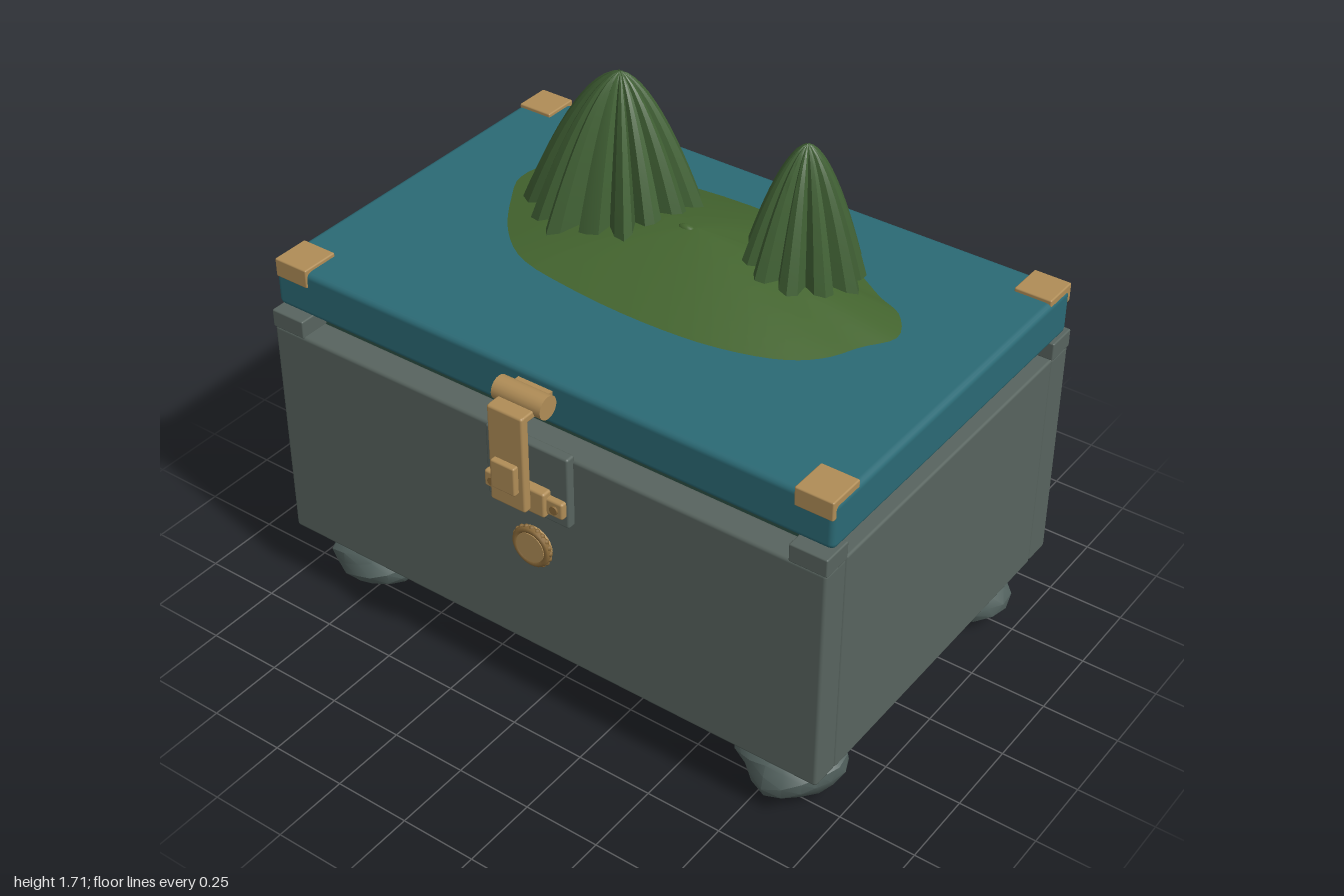
import * as THREE from 'three';
import { toCreasedNormals } from 'three/addons/utils/BufferGeometryUtils.js';
import { RoundedBoxGeometry } from 'three/addons/geometries/RoundedBoxGeometry.js';

const flat = (name, color) => {
  const m = new THREE.MeshStandardMaterial({ color });
  m.name = name;
  return m;
};

export function createModel() {
  const model = new THREE.Group();
  model.name = 'treasureChest';
  const stone = flat('stone grey', 0x58645f);
  const rock = flat('rock grey', 0x53625f);
  const teal = flat('sea teal', 0x2b6a75);
  const liner = flat('dark green', 0x2c4d43);
  const brass = flat('brass', 0xb08d57);
  const darkBrass = flat('dark brass', 0x8a6a3a);
  const grass = flat('grass green', 0x44652f);
  const forest = flat('forest green', 0x406034);
  const MID = 0.0125; // centre line of the chest

  const add = (name, geo, mat, x = 0, y = 0, z = 0, parent = model) => {
    const m = new THREE.Mesh(geo, mat);
    m.name = name;
    m.position.set(x, y, z);
    parent.add(m);
    return m;
  };
  // Box given by its limits, with softened edges when r > 0
  const box = (name, mat, [x0, x1], [y0, y1], [z0, z1], r = 0) => {
    const s = [x1 - x0, y1 - y0, z1 - z0];
    const geo = r ? new RoundedBoxGeometry(...s, 2, r) : new THREE.BoxGeometry(...s);
    return add(name, geo, mat, (x0 + x1) / 2, (y0 + y1) / 2, (z0 + z1) / 2);
  };
  const around = (c, w) => [c - w / 2, c + w / 2];
  const barrel = (name, x, y, z, r, len) => {
    const m = add(name, new THREE.CylinderGeometry(r, r, len, 20), brass, x, y, z);
    m.rotation.z = Math.PI / 2;
    return m;
  };
  const disc = (name, mat, r, len, x, y, z, sides = 24) => {
    const m = add(name, new THREE.CylinderGeometry(r, r, len, sides), mat, x, y, z);
    m.rotation.x = Math.PI / 2;
    return m;
  };
  // Surface through rings of points, anticlockwise from above, bottom ring first
  const loft = (rings, crease) => {
    const n = rings[0].length, index = [];
    for (let i = 0; i < rings.length - 1; i++) {
      for (let j = 0; j < n; j++) {
        const a = i * n + j, b = i * n + (j + 1) % n;
        index.push(a, b, a + n, b, b + n, a + n);
      }
    }
    const geo = new THREE.BufferGeometry().setFromPoints(rings.flat());
    geo.setIndex(index);
    geo.computeVertexNormals();
    return crease ? toCreasedNormals(geo, crease) : geo;
  };

  // Body panels and floor
  box('frontPanel', stone, [-0.97, 0.995], [0.225, 0.995], [0.534, 0.634], 0.012);
  box('backPanel', stone, [-0.97, 0.995], [0.225, 0.995], [-0.675, -0.575], 0.012);
  box('rightPanel', stone, [-0.97, -0.87], [0.225, 0.995], [-0.577, 0.536], 0.008);
  box('leftPanel', stone, [0.895, 0.995], [0.225, 0.995], [-0.577, 0.536], 0.008);
  box('floor', stone, [-0.885, 0.912], [0.19, 0.26], [-0.58, 0.536], 0.008);
  box('innerLiner', liner, [-0.89, 0.915], [0.9, 1.047], [-0.565, 0.52]);

  // Corner posts, lid corners and rock feet
  let seed = 0;
  for (const sx of [-1, 1]) {
    for (const sz of [-1, 1]) {
      const post = sx < 0 ? [-0.972, -0.85] : [0.875, 0.997];
      box('cornerPost', stone, post, [0.99, 1.05], sz < 0 ? [-0.677, -0.575] : [0.534, 0.636], 0.005);
      const cap = sx < 0 ? [-0.962, -0.84] : [0.87, 0.992];
      box('lidCorner', brass, cap, [1.16, 1.222], sz < 0 ? [-0.656, -0.535] : [0.485, 0.612], 0.005);

      const geo = new THREE.IcosahedronGeometry(1, 2);
      const p = geo.attributes.position, v = new THREE.Vector3();
      for (let i = 0; i < p.count; i++) {
        v.fromBufferAttribute(p, i);
        const k = 1 + 0.07 * Math.sin(4 * v.x + 3 * v.z + seed) + 0.05 * Math.sin(5 * v.y - 4 * v.x + 2 * seed);
        p.setXYZ(i, v.x * k * 0.163, v.y * k * 0.1, v.z * k * 0.145);
      }
      add('rockFoot', toCreasedNormals(geo, 0.5), rock, sx < 0 ? -0.765 : 0.8, 0.108, sz < 0 ? -0.507 : 0.46);
      seed += 1.7;
    }
  }

  // Lid
  box('lid', teal, [-0.97, 0.995], [1.057, 1.21], [-0.648, 0.607], 0.02);

  // Hinges
  for (const x of [-0.575, 0.612]) {
    box('hingeUpperLeaf', brass, around(x, 0.14), [1.05, 1.14], [-0.735, -0.645], 0.006);
    box('hingeLowerLeaf', brass, around(x, 0.14), [0.815, 1.04], [-0.705, -0.67], 0.006);
    barrel('hingeBarrel', x, 1.05, -0.725, 0.038, 0.215);
  }

  // Latch
  box('latchPlate', stone, [-0.135, 0.16], [0.765, 1.01], [0.625, 0.66], 0.008);
  box('latchEars', brass, [-0.13, 0.153], [0.805, 0.862], [0.655, 0.68], 0.008);
  box('latchKeeper', brass, around(MID, 0.17), [0.795, 0.88], [0.655, 0.692], 0.008);
  for (const s of [-1, 1]) disc('latchScrew', darkBrass, 0.014, 0.01, MID + s * 0.112, 0.833, 0.681, 12);
  box('latchStrap', brass, around(MID, 0.125), [0.838, 1.165], [0.717, 0.747], 0.008);
  box('latchArm', brass, around(MID, 0.125), [1.14, 1.165], [0.66, 0.74], 0.006);
  box('latchTab', brass, around(MID, 0.085), [0.9, 0.997], [0.74, 0.766], 0.006);
  box('latchBracket', brass, around(MID, 0.12), [1.145, 1.18], [0.6, 0.66]);
  barrel('latchBarrel', MID, 1.165, 0.66, 0.037, 0.172);

  // Front stud with a beaded rim
  disc('studBack', brass, 0.064, 0.02, MID, 0.628, 0.64);
  add('studRim', new THREE.TorusGeometry(0.058, 0.011, 8, 32), darkBrass, MID, 0.628, 0.65);
  disc('studCentre', brass, 0.05, 0.03, MID, 0.628, 0.645);
  for (let i = 0; i < 20; i++) {
    const a = i / 20 * Math.PI * 2;
    add('studBead', new THREE.SphereGeometry(0.009, 6, 5), darkBrass, MID + 0.064 * Math.cos(a), 0.628 + 0.064 * Math.sin(a), 0.647);
  }

  // Ring pull on the right end
  const boss = add('ringBoss', new THREE.CylinderGeometry(0.043, 0.043, 0.02, 20), brass, -0.975, 0.722, -0.03);
  boss.rotation.z = Math.PI / 2;
  const ring = add('ringPull', new THREE.TorusGeometry(0.064, 0.009, 8, 32), darkBrass, -0.99, 0.65, -0.03);
  ring.rotation.y = Math.PI / 2;

  // Island mound
  const shore = [[-0.7, -0.19], [-0.675, -0.3], [-0.5, -0.385], [-0.29, -0.455], [0.08, -0.48], [0.3, -0.44],
    [0.48, -0.35], [0.59, -0.283], [0.68, -0.24], [0.74, -0.134], [0.68, -0.03], [0.63, 0.07], [0.54, 0.15],
    [0.35, 0.214], [0.11, 0.236], [-0.18, 0.22], [-0.4, 0.176], [-0.53, 0.08], [-0.64, -0.07]];
  const curve = new THREE.CatmullRomCurve3(shore.reverse().map(([x, z]) => new THREE.Vector3(x, 0, z)), true);
  const edge = curve.getPoints(72).slice(0, -1);
  const moundRings = [];
  for (let i = 0; i <= 12; i++) {
    const s = 1 - i / 12;
    moundRings.push(edge.map(p => new THREE.Vector3(
      0.04 + (p.x - 0.04) * s, 1.206 + 0.122 * (1 - s ** 1.35), -0.12 + (p.z + 0.12) * s)));
  }
  add('islandMound', loft(moundRings), grass);

  // Fluted peaks: each tip is the foot of one ridge, with a groove between neighbours
  const peak = (name, x, z, base, top, tips) => {
    const outline = [];
    tips.reverse().forEach(([ax, az], i) => {
      const [bx, bz] = tips[(i + 1) % tips.length];
      for (const [t, k] of [[0, 1], [0.28, 0.97], [0.5, 0.76], [0.72, 0.95]]) {
        outline.push([(ax + (bx - ax) * t) * k, (az + (bz - az) * t) * k]);
      }
    });
    const rings = [];
    for (let i = 0; i <= 12; i++) {
      const t = 1 - (1 - i / 12) ** 1.6;
      const r = (1 - t) ** 0.62;
      rings.push(outline.map(([px, pz]) => new THREE.Vector3(px * r, base + (top - base) * t, pz * r)));
    }
    add(name, loft(rings, 0.45), forest, x, 0, z);
  };
  peak('tallPeak', -0.28, -0.18, 1.225, 1.715, [[-0.355, -0.01], [-0.31, -0.12], [-0.21, -0.22], [-0.08, -0.225],
    [0.04, -0.2], [0.15, -0.21], [0.25, -0.11], [0.262, 0.01], [0.22, 0.11], [0.17, 0.215], [0.03, 0.22],
    [-0.1, 0.25], [-0.21, 0.18], [-0.31, 0.09]]);
  peak('smallPeak', 0.35, -0.215, 1.24, 1.672, [[-0.205, 0.01], [-0.17, -0.12], [-0.06, -0.195], [0.08, -0.19],
    [0.155, -0.1], [0.19, 0], [0.145, 0.1], [0.055, 0.175], [-0.055, 0.19], [-0.14, 0.145]]);

  // Pebble on the saddle
  const pebble = add('pebble', new THREE.SphereGeometry(0.03, 10, 8), grass, 0.01, 1.318, -0.11);
  pebble.scale.set(1, 0.5, 0.5);
  return model;
}
